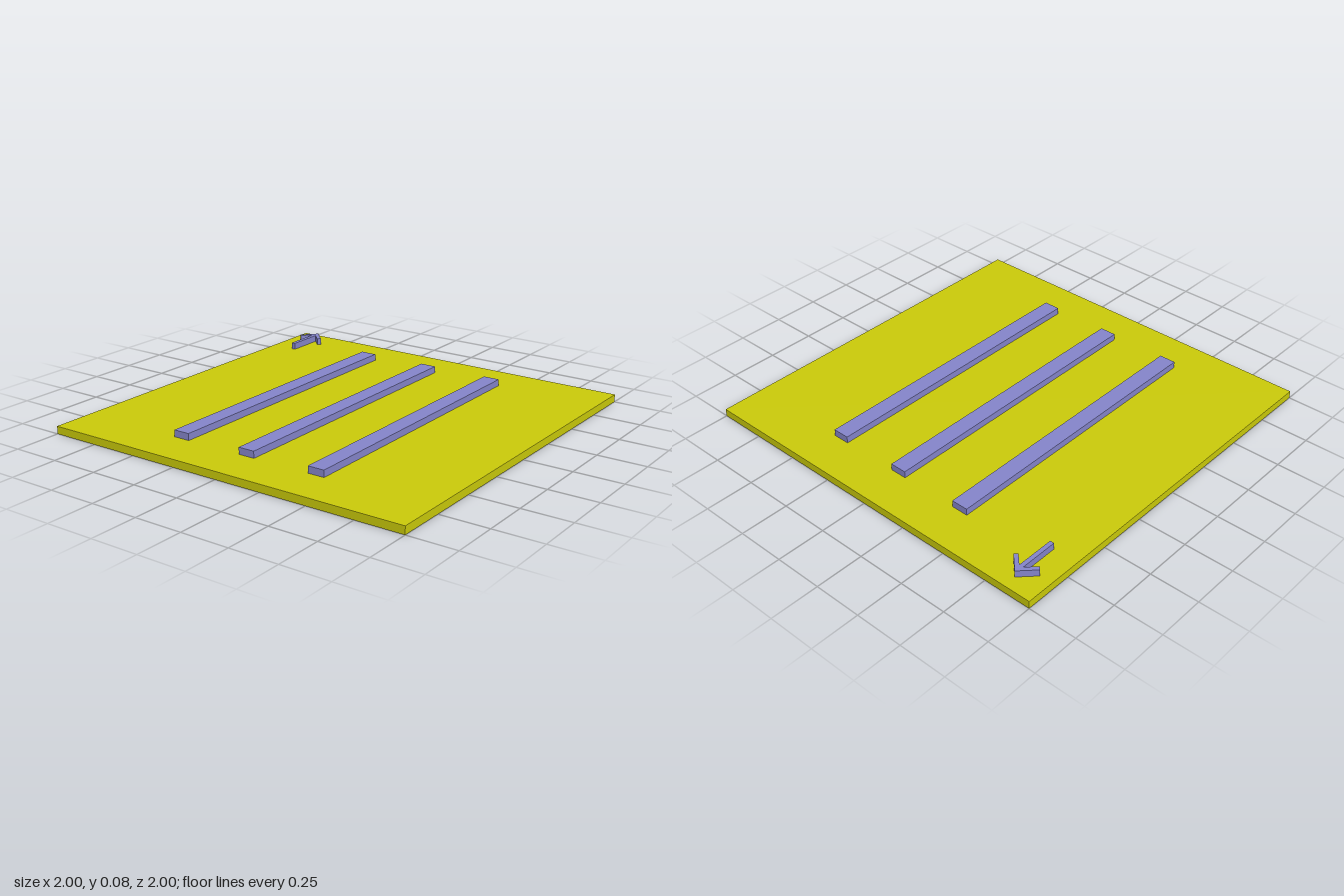
import * as THREE from 'three';

const BASE_H = 0.04, RAISED_H = 0.035;

export function createModel() {
  const model = new THREE.Group();
  model.name = 'plate';
  const yellow = new THREE.MeshStandardMaterial({ color: 0xcccc0a });
  const violet = new THREE.MeshStandardMaterial({ color: 0x8686cc });

  const add = (name, geometry, material, x, y, z) => {
    const mesh = new THREE.Mesh(geometry, material);
    mesh.name = name;
    mesh.position.set(x, y, z);
    model.add(mesh);
  };

  // Square base plate
  add('basePlate', new THREE.BoxGeometry(2, BASE_H, 2), yellow, 0, BASE_H / 2, 0);

  // Three parallel bars
  const bar = new THREE.BoxGeometry(0.088, RAISED_H, 1.56);
  ['rightBar', 'middleBar', 'leftBar'].forEach((name, i) =>
    add(name, bar, violet, (i - 1) * 0.393, BASE_H + RAISED_H / 2, 0));

  // Direction arrow pointing to the back; half outline mirrored about its stem
  const half = [[0.011, 0.69], [0.011, 0.89], [0.06, 0.841], [0.075, 0.856]];
  const outline = [
    ...half, [0, 0.932],
    ...half.map(([x, y]) => [-x, y]).reverse(),
  ].map(([x, y]) => new THREE.Vector2(x, y));
  const arrow = new THREE.ExtrudeGeometry(new THREE.Shape(outline), { depth: RAISED_H, bevelEnabled: false });
  arrow.rotateX(-Math.PI / 2);
  add('directionArrow', arrow, violet, -0.859, BASE_H, 0);

  return model;
}
